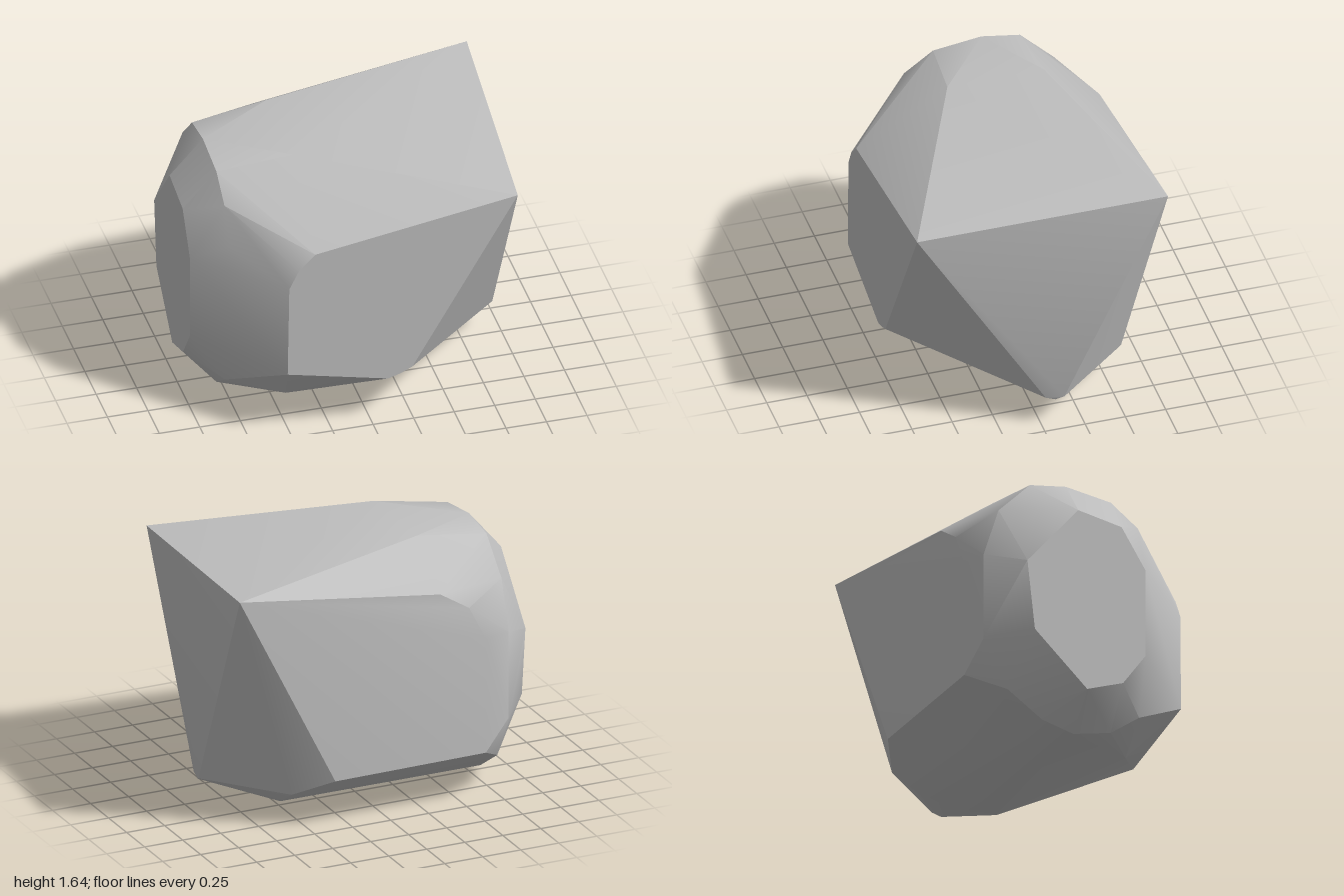
import * as THREE from 'three';
import { ConvexGeometry } from 'three/addons/geometries/ConvexGeometry.js';
import { toCreasedNormals } from 'three/addons/utils/BufferGeometryUtils.js';

// Cross-section at a fixed x, from [y, z] pairs
const atX = (x, pairs) => pairs.map(([y, z]) => new THREE.Vector3(x, y, z));
// Outline at a fixed z, from [x, y] pairs
const atZ = (z, pairs) => pairs.map(([x, y]) => new THREE.Vector3(x, y, z));

export function createModel() {
  const grey = new THREE.MeshStandardMaterial({ color: 0xbfbfbf });
  grey.name = 'stoneGrey';

  const corners = [
    // flat end
    ...atX(-1, [[0.97, -0.51], [1.37, -0.17], [1.32, 0.12], [1.07, 0.28],
      [0.51, 0.28], [0.3, 0.13], [0.21, -0.11], [0.53, -0.46]]),
    // rim of the bevel around the flat end
    ...atX(-0.8, [[1.61, -0.15], [1.57, -0.39], [1.36, -0.6], [1.05, -0.7],
      [0.5, -0.7], [0.2, -0.54], [0.05, -0.31], [0, -0.1], [0.06, 0.15],
      [0.2, 0.34], [1.21, 0.43], [1.44, 0.33], [1.57, 0.15]]),
    // top ridge
    ...atX(-0.34, [[1.64, 0.2], [1.64, -0.4]]),
    // front face
    ...atZ(0.76, [[-0.53, 0.46], [-0.52, 1.07], [-0.46, 1.19], [-0.36, 1.29],
      [0.89, 1.49], [0.24, 0.38], [0.17, 0.345], [0.09, 0.32]]),
    // back face
    ...atZ(-0.742, [[-0.33, 1.39], [-0.52, 1.27], [-0.63, 1.05], [-0.63, 0.32], [0.36, 0.31]]),
    // pointed upper back corner
    new THREE.Vector3(1, 1.58, -0.765),
    // small lower tip
    ...atX(0.95, [[0.21, -0.02], [0.185, -0.08]]),
    new THREE.Vector3(0.97, 0.21, -0.13),
    // rounded underside
    ...atX(0.43, [[0, -0.12], [0.003, 0.02]]),
    new THREE.Vector3(0.5, 0.03, -0.24),
    new THREE.Vector3(0.57, 0.1, -0.42),
    new THREE.Vector3(0.58, 0.21, -0.6),
    new THREE.Vector3(-0.45, 0.1, 0.43),
  ];

  const geometry = toCreasedNormals(new ConvexGeometry(corners), THREE.MathUtils.degToRad(28));
  const body = new THREE.Mesh(geometry, grey);
  body.name = 'facetedBlock';

  const model = new THREE.Group();
  model.name = 'block';
  model.add(body);
  return model;
}
